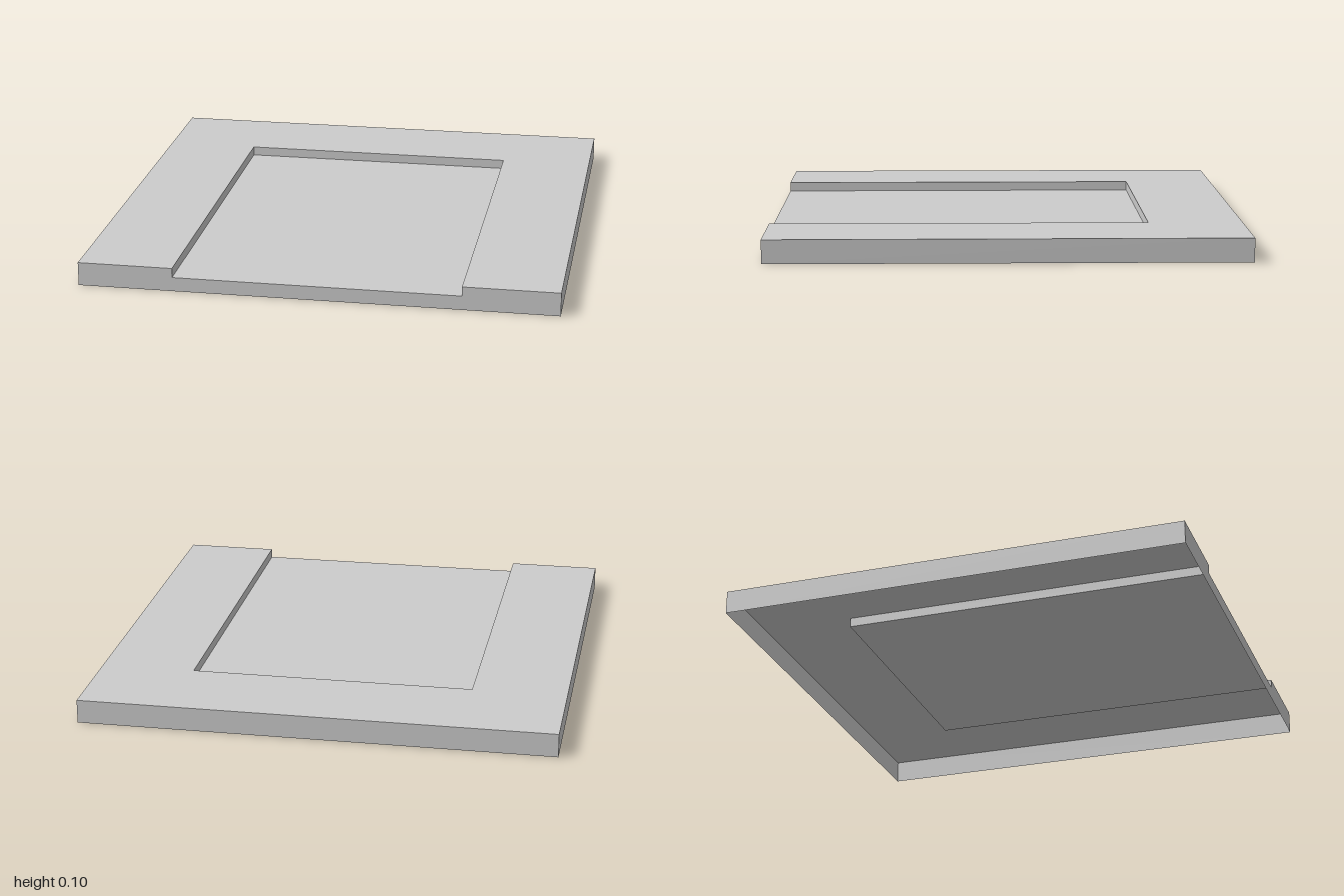
import * as THREE from 'three';

const H = 0.1;        // slab height
const FLOOR = 0.06;   // height of the recess floor
const R = 0.6;        // half width of the recess, and its back edge at z = -R

export function createModel() {
  const group = new THREE.Group();
  // thin shell, open underneath
  const material = new THREE.MeshStandardMaterial({ color: 0xcccccc, side: THREE.DoubleSide, flatShading: true });

  function add(name, geometry, position, rotX = 0, rotY = 0) {
    const mesh = new THREE.Mesh(geometry, material);
    mesh.name = name;
    mesh.position.set(...position);
    mesh.rotation.set(rotX, rotY, 0);
    group.add(mesh);
  }
  const polygon = (points) =>
    new THREE.ShapeGeometry(new THREE.Shape(points.map(([x, y]) => new THREE.Vector2(x, y))));
  const plane = (w, h) => new THREE.PlaneGeometry(w, h);

  // U-shaped raised top, open toward the front
  add('raisedRim', polygon([
    [-1, -1], [-R, -1], [-R, R], [R, R], [R, -1], [1, -1], [1, 1], [-1, 1],
  ]), [0, H, 0], -Math.PI / 2);

  // Sunken floor and the steps around it
  const depth = 1 + R, step = H - FLOOR, stepY = (H + FLOOR) / 2;
  add('recessFloor', plane(2 * R, depth), [0, FLOOR, (1 - R) / 2], -Math.PI / 2);
  add('recessBackStep', plane(2 * R, step), [0, stepY, -R]);

  // Side steps face inward, outer side walls face outward
  for (const [side, s] of [['left', 1], ['right', -1]]) {
    add(side + 'RecessStep', plane(depth, step), [s * R, stepY, (1 - R) / 2], 0, -s * Math.PI / 2);
    add(side + 'Wall', plane(2, H), [s, H / 2, 0], 0, s * Math.PI / 2);
  }

  // Back wall, and front wall notched by the recess
  add('backWall', plane(2, H), [0, H / 2, -1], 0, Math.PI);
  add('frontWall', polygon([
    [-1, 0], [1, 0], [1, H], [R, H], [R, FLOOR], [-R, FLOOR], [-R, H], [-1, H],
  ]), [0, 0, 1]);

  return group;
}
